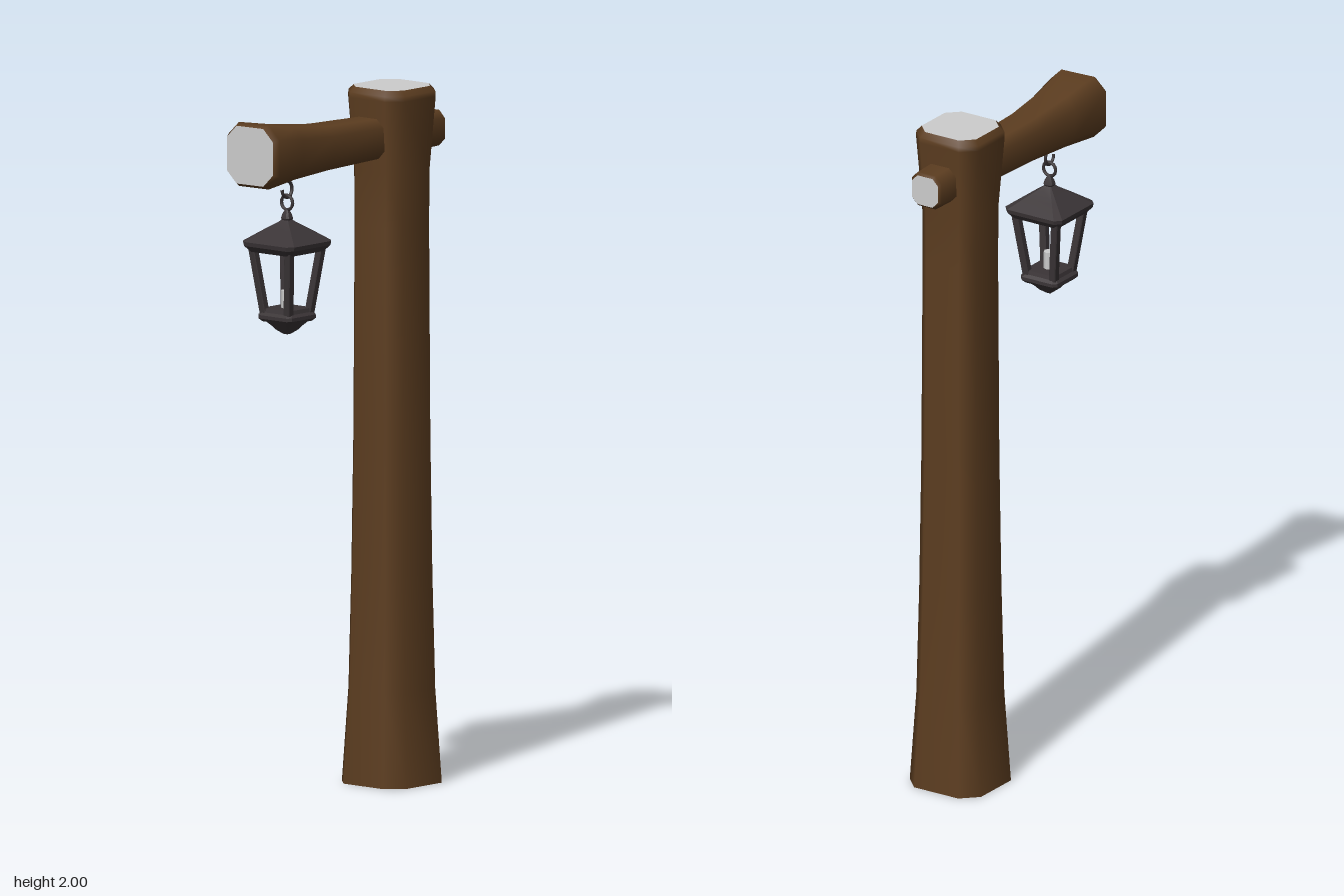
import * as THREE from 'three';
import { toCreasedNormals } from 'three/addons/utils/BufferGeometryUtils.js';

const wood = new THREE.MeshStandardMaterial({ color: 0x5c3d20, side: THREE.DoubleSide });
wood.name = 'brownWood';
const pale = new THREE.MeshStandardMaterial({ color: 0xcccccc });
pale.name = 'paleGrey';
const iron = new THREE.MeshStandardMaterial({ color: 0x3a3436 });
iron.name = 'darkIron';

// Eight corners of a bevelled square; s = [height, half width, centre x, centre z, tilt]
function section([y, h, cx = 0, cz = 0, tilt = 0], flat) {
  const f = h * flat;
  return [[h, -f], [h, f], [f, h], [-f, h], [-h, f], [-h, -f], [-f, -h], [f, -h]]
    .map(([x, z]) => [cx + x, y + tilt * z, cz + z]);
}

function geometryFrom(points, index) {
  const g = new THREE.BufferGeometry();
  g.setAttribute('position', new THREE.Float32BufferAttribute(points.flat(), 3));
  g.setIndex(index);
  g.computeVertexNormals();
  return g;
}

// Skin through bevelled square sections, listed from bottom to top
function loft(sections, flat) {
  const index = [];
  for (let r = 0; r < sections.length - 1; r++) {
    for (let i = 0; i < 8; i++) {
      const a = r * 8 + i, b = r * 8 + (i + 1) % 8;
      index.push(a, a + 8, b + 8, a, b + 8, b);
    }
  }
  return geometryFrom(sections.flatMap((s) => section(s, flat)), index);
}

function cap(s, flat, up) {
  const index = [];
  for (let i = 1; i < 7; i++) index.push(0, up ? i + 1 : i, up ? i : i + 1);
  return geometryFrom(section(s, flat), index);
}

function add(parent, name, geometry, material) {
  const mesh = new THREE.Mesh(geometry, material);
  mesh.name = name;
  parent.add(mesh);
  return mesh;
}

// Closed, hard-edged iron block
function ironBlock(parent, name, sections, flat) {
  const g = new THREE.Group();
  g.name = name;
  add(g, name + 'Sides', toCreasedNormals(loft(sections, flat), 0.4), iron);
  add(g, name + 'Bottom', cap(sections[0], flat, false), iron);
  add(g, name + 'Top', cap(sections.at(-1), flat, true), iron);
  parent.add(g);
}

function createLantern() {
  const lantern = new THREE.Group();
  lantern.name = 'lantern';

  // Roof with a flared eave and small finial
  ironBlock(lantern, 'roof', [[1.578, 0.08], [1.595, 0.095], [1.607, 0.097],
    [1.637, 0.055], [1.662, 0.018], [1.668, 0.012]], 0.82);
  ironBlock(lantern, 'finial', [[1.66, 0.009], [1.672, 0.015], [1.683, 0.012], [1.698, 0.005]], 0.6);

  // Four leaning corner bars
  for (const sx of [-1, 1]) {
    for (const sz of [-1, 1]) {
      ironBlock(lantern, 'cornerBar', [[1.4, 0.011, sx * 0.045, sz * 0.045],
        [1.585, 0.011, sx * 0.068, sz * 0.068]], 0.8);
    }
  }

  // Tray, foot and candle
  ironBlock(lantern, 'tray', [[1.378, 0.055], [1.386, 0.063], [1.396, 0.063], [1.404, 0.055], [1.415, 0.052]], 0.82);
  ironBlock(lantern, 'foot', [[1.34, 0.008], [1.352, 0.024], [1.364, 0.034], [1.38, 0.05]], 0.8);
  const candle = add(lantern, 'candle', new THREE.CylinderGeometry(0.017, 0.017, 0.055, 8), pale);
  candle.position.y = 1.438;

  // Hook under the beam, threaded through the hanging ring
  const hookPath = new THREE.CatmullRomCurve3([[0, 1.81], [0, 1.782], [0.015, 1.771], [0.021, 1.753],
    [0.012, 1.735], [-0.004, 1.732], [-0.018, 1.743], [-0.021, 1.756]]
    .map(([x, y]) => new THREE.Vector3(x, y, 0)));
  add(lantern, 'hook', new THREE.TubeGeometry(hookPath, 24, 0.005, 6), iron);
  const ring = add(lantern, 'ring', new THREE.TorusGeometry(0.021, 0.005, 6, 14), iron);
  ring.position.y = 1.717;
  ring.rotation.y = Math.PI / 2;

  lantern.position.x = -0.233;
  return lantern;
}

export function createModel() {
  const model = new THREE.Group();
  model.name = 'lanternPost';

  // Upright post, open underneath, with a sawn top
  const postSections = [[0, 0.122], [0.27, 0.106], [0.6, 0.099], [1.0, 0.094], [1.6, 0.091],
    [1.76, 0.092], [1.97, 0.107], [1.985, 0.106], [2, 0.093]];
  const post = new THREE.Group();
  post.name = 'post';
  add(post, 'postTrunk', loft(postSections, 0.62), wood);
  add(post, 'postTop', cap(postSections.at(-1), 0.62, true), pale);
  post.position.x = 0.218;
  model.add(post);

  // Cross beam through the post, built upright and laid along x
  const beamSections = [[-0.397, 0.044, 1.86], [-0.388, 0.051, 1.86], [-0.1, 0.058, 1.86],
    [0.1, 0.063, 1.86], [0.25, 0.075, 1.864], [0.378, 0.092, 1.869, 0.002, -0.06],
    [0.393, 0.083, 1.869, 0, -0.05]];
  const beam = new THREE.Group();
  beam.name = 'crossBeam';
  add(beam, 'beamBody', loft(beamSections, 0.58), wood);
  add(beam, 'beamLeftEnd', cap(beamSections[0], 0.58, false), pale);
  add(beam, 'beamRightEnd', cap(beamSections.at(-1), 0.58, true), pale);
  beam.rotation.z = Math.PI / 2;
  model.add(beam);

  model.add(createLantern());
  return model;
}
